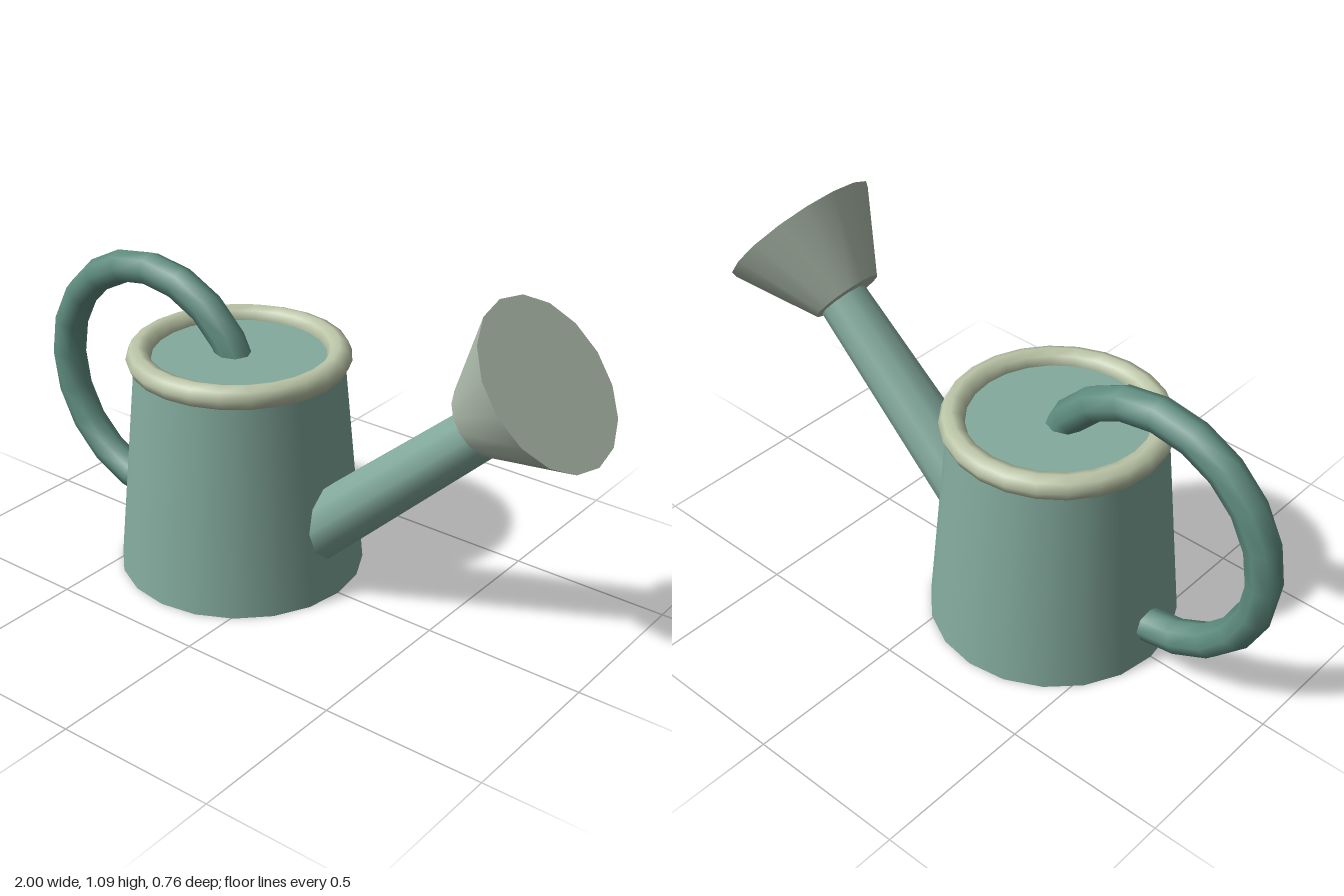
import * as THREE from 'three';

const paint = (color) => new THREE.MeshStandardMaterial({ color });
const green = paint(0x83aa9d);
const darkGreen = paint(0x5f8c7f);
const cream = paint(0xbac4a6);
const paleGreen = paint(0xadbbab);

const BODY_X = -0.216;

function add(group, name, geometry, material, x, y) {
  const mesh = new THREE.Mesh(geometry, material);
  mesh.name = name;
  mesh.position.set(x, y, 0);
  group.add(mesh);
  return mesh;
}

// Tapered cylinder running from one point to another in the xy plane
function cone(group, name, material, from, to, r0, r1, sides) {
  const a = new THREE.Vector2(...from);
  const d = new THREE.Vector2(...to).sub(a);
  const geometry = new THREE.CylinderGeometry(r1, r0, d.length(), sides);
  const mesh = add(group, name, geometry, material, a.x + d.x / 2, a.y + d.y / 2);
  mesh.rotation.z = d.angle() - Math.PI / 2;
  return mesh;
}

export function createModel() {
  const can = new THREE.Group();
  can.name = 'wateringCan';

  // Tapered body with a closed top and a rolled rim
  cone(can, 'body', green, [BODY_X, 0], [BODY_X, 0.692], 0.381, 0.317, 20);
  const rim = add(can, 'rim', new THREE.TorusGeometry(0.303, 0.038, 8, 24), cream, BODY_X, 0.692);
  rim.rotation.x = Math.PI / 2;

  // Looped handle, both ends buried in the body
  const loop = new THREE.TorusGeometry(0.38, 0.053, 8, 16, Math.PI * 1.6);
  add(can, 'handle', loop, darkGreen, -0.567, 0.502);

  // Spout and its flared sprinkler head
  cone(can, 'spout', green, [0.013, 0.134], [0.675, 0.73], 0.102, 0.079, 10);
  cone(can, 'sprinklerHead', paleGreen, [0.643, 0.737], [0.837, 0.9], 0.114, 0.254, 16);

  return can;
}
